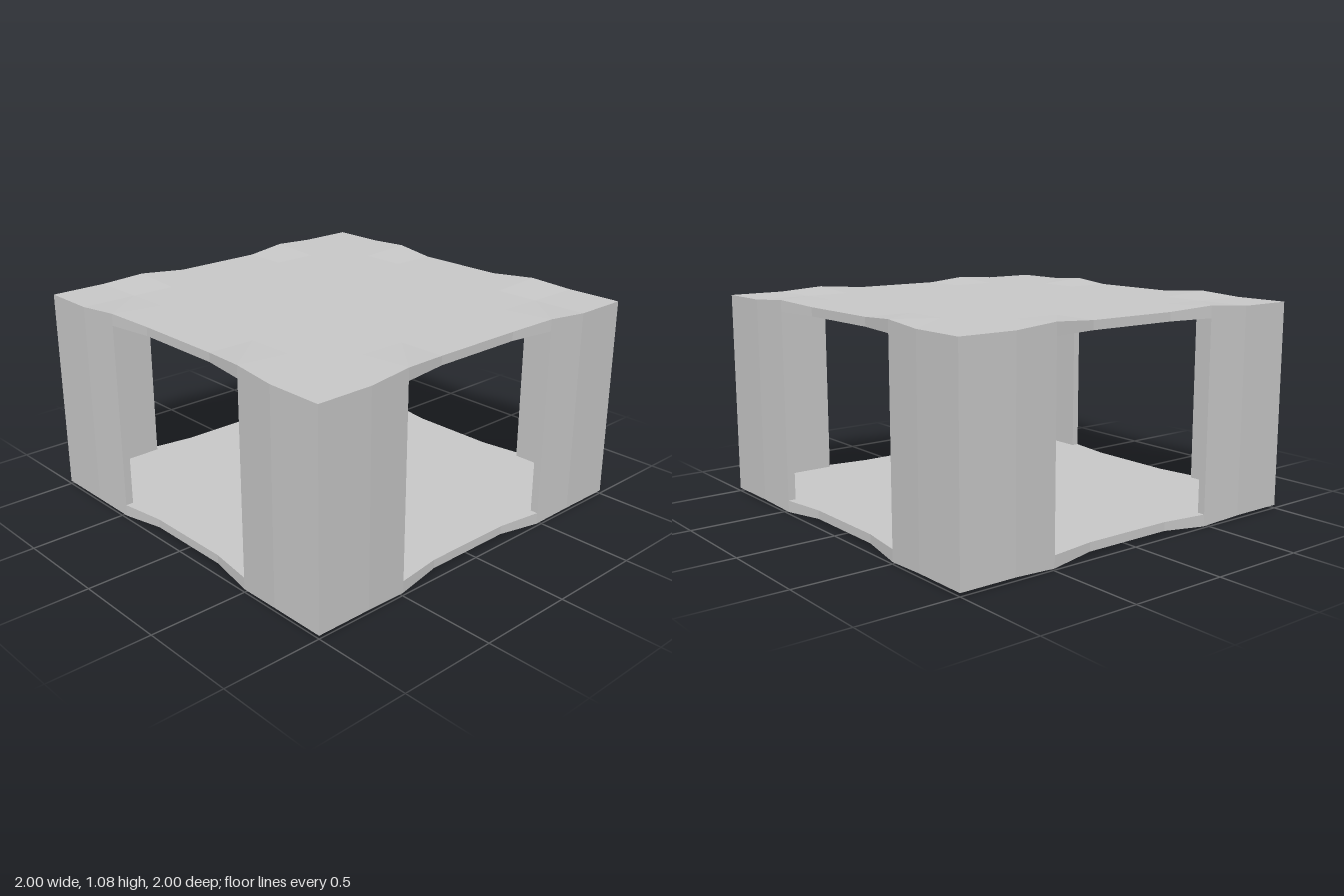
import * as THREE from 'three';

// Grid lines from centre to edge, how far the rim reaches at each, and how much it swells
const LINES = [0, 0.24, 0.48, 0.71, 1];
const RIM = [0.95, 0.95, 0.985, 1, 1];
const SWELL = [0, 0, 0.016, 0, 0];
const INNER = 0.945; // inside face of the corner walls
const FLOOR = 0.064, CEILING = 1.02, SLAB = 0.044;

// Flat normals on every face
function faceted(geometry) {
  const flat = geometry.index ? geometry.toNonIndexed() : geometry;
  flat.computeVertexNormals();
  return flat;
}

// Square plate with a wavy rim: flat below, swollen near the openings above
function slabGeometry() {
  const geometry = new THREE.BoxGeometry(2, SLAB, 2, 8, 1, 8);
  const p = geometry.attributes.position;
  for (let n = 0; n < p.count; n++) {
    const i = Math.round(Math.abs(p.getX(n)) * 4);
    const j = Math.round(Math.abs(p.getZ(n)) * 4);
    const x = i === 4 ? RIM[j] : LINES[i];
    const z = j === 4 ? RIM[i] : LINES[j];
    const top = p.getY(n) > 0;
    const swell = i === 4 ? SWELL[j] : j === 4 ? SWELL[i] : 0;
    p.setXYZ(n, Math.sign(p.getX(n)) * x, top ? SLAB + swell : 0, Math.sign(p.getZ(n)) * z);
  }
  return faceted(geometry);
}

// L-shaped corner wall, thin and gently curved towards the openings
function cornerGeometry() {
  const shape = new THREE.Shape([
    [1, 1], [0.71, 1], [0.48, 0.985], [0.48, INNER],
    [INNER, INNER], [INNER, 0.48], [0.985, 0.48], [1, 0.71],
  ].map(([x, y]) => new THREE.Vector2(x, y)));
  const geometry = new THREE.ExtrudeGeometry(shape, { depth: CEILING - FLOOR, bevelEnabled: false });
  geometry.rotateX(-Math.PI / 2);
  return faceted(geometry);
}

export function createModel() {
  const group = new THREE.Group();
  group.name = 'openFrame';
  const grey = new THREE.MeshStandardMaterial({ color: 0xc8c8c8 });
  grey.name = 'light grey';

  // Top and bottom plates
  const slab = slabGeometry();
  const roof = new THREE.Mesh(slab, grey);
  roof.name = 'topSlab';
  roof.position.y = CEILING;
  const base = new THREE.Mesh(slab, grey);
  base.name = 'bottomSlab';
  base.rotation.x = Math.PI;
  base.position.y = FLOOR;
  group.add(roof, base);

  // Four corner walls
  const corner = cornerGeometry();
  ['backLeft', 'backRight', 'frontRight', 'frontLeft'].forEach((place, k) => {
    const wall = new THREE.Mesh(corner, grey);
    wall.name = place + 'CornerWall';
    wall.rotation.y = k * Math.PI / 2;
    wall.position.y = FLOOR;
    group.add(wall);
  });
  return group;
}
